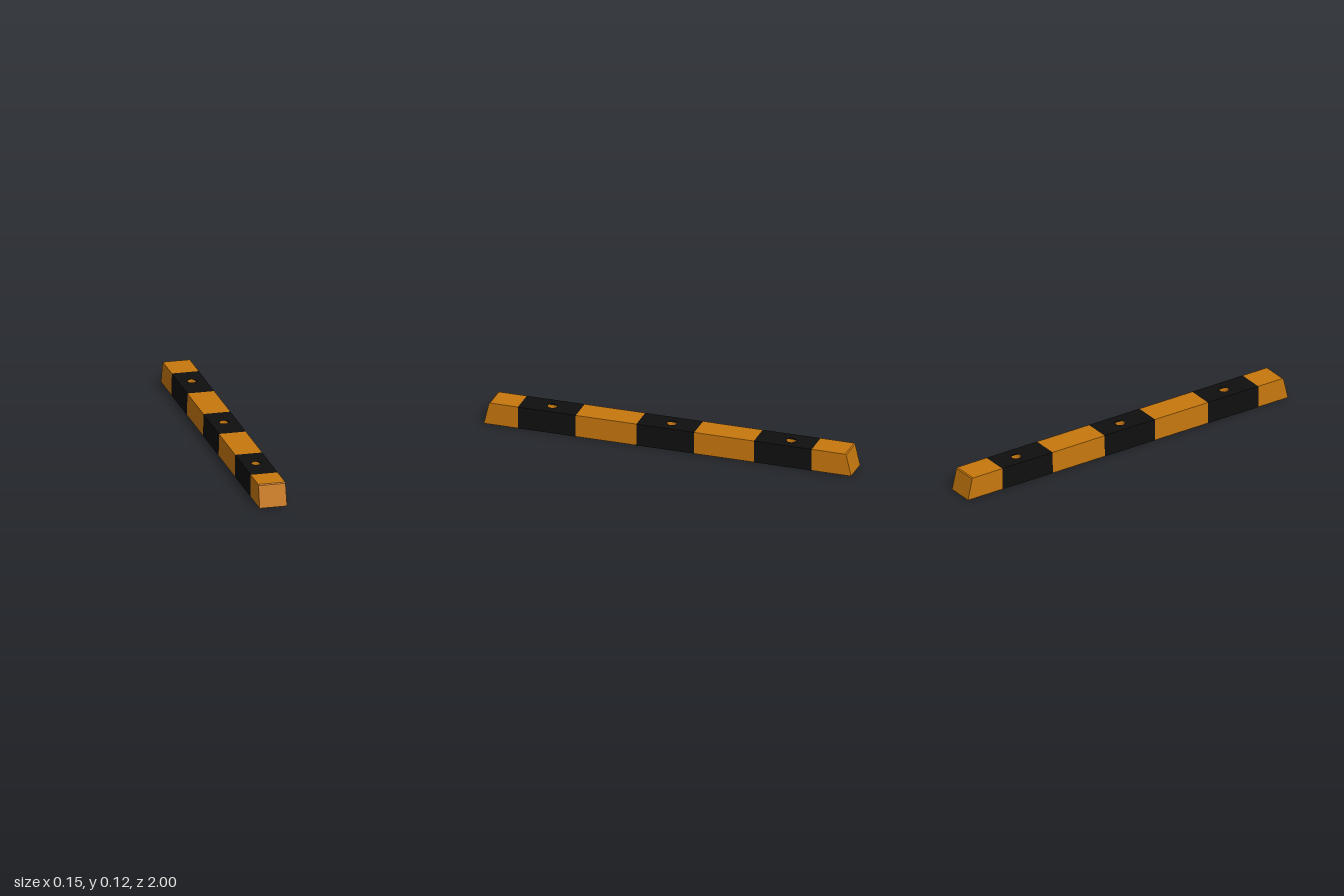
import * as THREE from 'three';

const W = 0.073, H = 0.12, HOLE_R = 0.026;
const TAPER = 0.015; // sides lean in slightly towards the top

const orange = new THREE.MeshStandardMaterial({ name: 'amber', color: 0xc8780e, side: THREE.DoubleSide });
const black = new THREE.MeshStandardMaterial({ name: 'black', color: 0x0f0f0f });

function mesh(name, geometry, material) {
  const m = new THREE.Mesh(geometry, material);
  m.name = name;
  return m;
}

function lean(geometry) {
  const p = geometry.attributes.position;
  for (let i = 0; i < p.count; i++) p.setX(i, p.getX(i) * (1 - TAPER * p.getY(i) / H));
  geometry.computeVertexNormals();
  return geometry;
}

// Block with a side profile of [z, y] points, extruded across the width
function profileBlock(points) {
  const shape = new THREE.Shape(points.map(([z, y]) => new THREE.Vector2(z, y)));
  const g = new THREE.ExtrudeGeometry(shape, { depth: 2 * W, bevelEnabled: false });
  g.rotateY(-Math.PI / 2).translate(W, 0, 0);
  return lean(g);
}

// Block between two z values with a vertical bolt hole
function drilledBlock(z0, z1, holeZ) {
  const shape = new THREE.Shape([
    new THREE.Vector2(-W, -z1), new THREE.Vector2(W, -z1),
    new THREE.Vector2(W, -z0), new THREE.Vector2(-W, -z0),
  ]);
  const hole = new THREE.Path();
  hole.absarc(0, -holeZ, HOLE_R, 0, Math.PI * 2, true);
  shape.holes.push(hole);
  const g = new THREE.ExtrudeGeometry(shape, { depth: H, bevelEnabled: false, curveSegments: 12 });
  g.rotateX(-Math.PI / 2);
  return lean(g);
}

// Sloped end with a small chamfer at its top edge
function endPoints(sign, inner) {
  return [[inner, 0], [sign, 0], [sign * 0.973, 0.115], [sign * 0.967, H], [inner, H]];
}

export function createModel() {
  const group = new THREE.Group();
  group.name = 'wheelStop';

  // Amber ends and middle bands
  group.add(mesh('frontEnd', profileBlock(endPoints(1, 0.815)), orange));
  group.add(mesh('backEnd', profileBlock(endPoints(-1, -0.785)), orange));
  for (const [z0, z1] of [[0.17, 0.5], [-0.47, -0.145]]) {
    group.add(mesh('amberBand', profileBlock([[z0, 0], [z1, 0], [z1, H], [z0, H]]), orange));
  }

  // Black bands, each with an amber-lined hole closed at the bottom
  for (const [z0, z1, holeZ] of [[0.5, 0.815, 0.65], [-0.145, 0.17, 0], [-0.785, -0.47, -0.65]]) {
    group.add(mesh('blackBand', drilledBlock(z0, z1, holeZ), black));
    const liner = mesh('holeLiner', new THREE.CylinderGeometry(HOLE_R, 0.021, H - 0.004, 24, 1, true), orange);
    liner.position.set(0, (H + 0.004) / 2, holeZ);
    const plug = mesh('holeFloor', new THREE.CylinderGeometry(HOLE_R, HOLE_R, 0.004, 24), black);
    plug.position.set(0, 0.002, holeZ);
    group.add(liner, plug);
  }
  return group;
}
